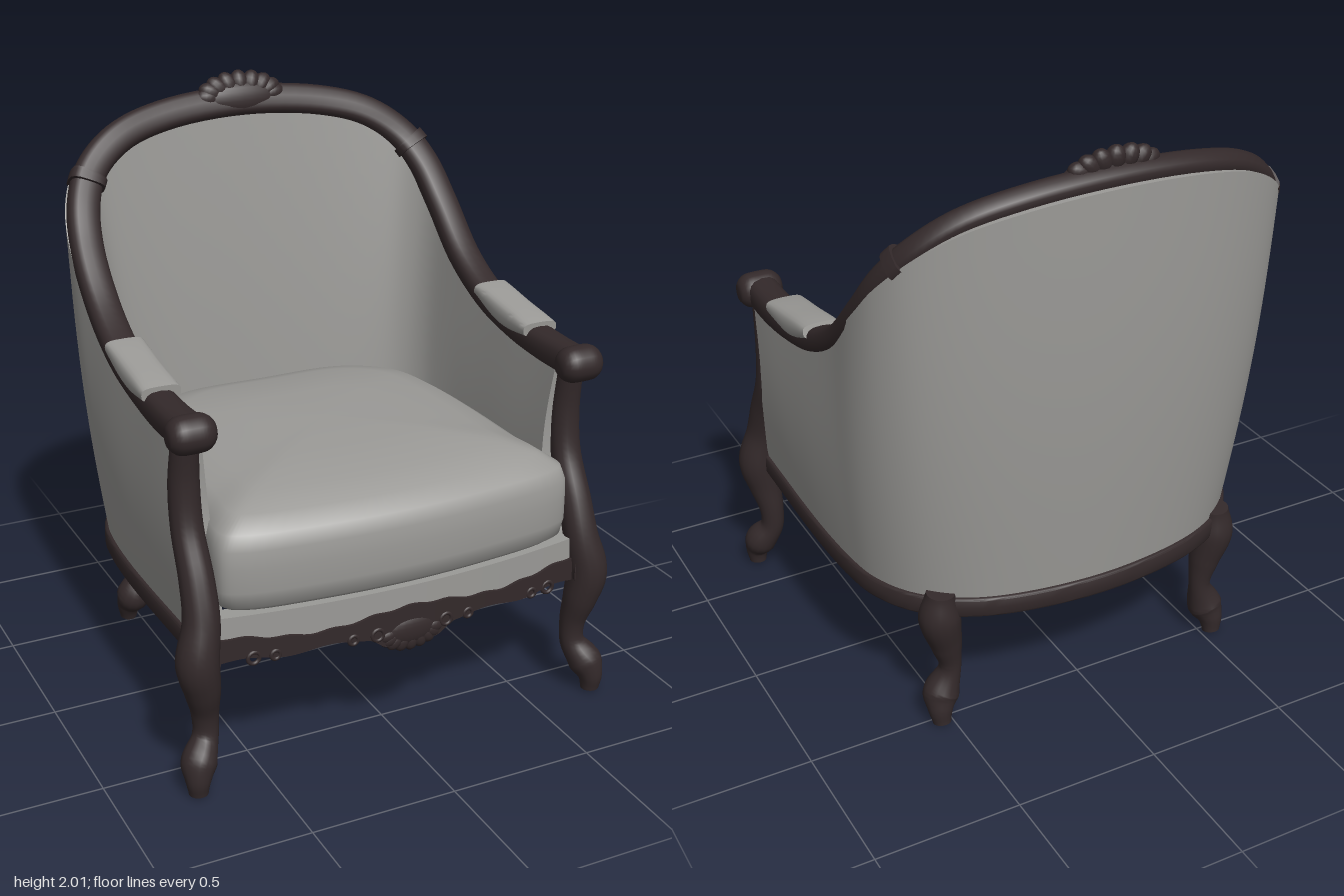
import * as THREE from 'three';
import { mergeVertices, toCreasedNormals } from 'three/addons/utils/BufferGeometryUtils.js';

const V = (x, y, z) => new THREE.Vector3(x, y, z);
const spline = (pts, closed = false) => new THREE.CatmullRomCurve3(pts, closed);
const { lerp, clamp, smoothstep } = THREE.MathUtils;

// Surface from a rule f(u, v) -> Vector3, front side along du x dv
function surface(f, nu, nv, crease = 0.9) {
  const geo = new THREE.PlaneGeometry(1, 1, nu, nv);
  const pos = geo.attributes.position;
  for (let i = 0; i < pos.count; i++) {
    const p = f((i % (nu + 1)) / nu, 1 - Math.floor(i / (nu + 1)) / nv);
    pos.setXYZ(i, p.x, p.y, p.z);
  }
  geo.deleteAttribute('uv');
  geo.deleteAttribute('normal');
  return toCreasedNormals(mergeVertices(geo, 1e-4), crease);
}

// Capped sweep: size(t) gives half width and half height, e < 1 squares the section
function sweep(curve, ref, size, n, sides, t0 = 0, t1 = 1, e = 1) {
  const pw = (c) => Math.sign(c) * Math.abs(c) ** e;
  return surface((u, v) => {
    const t = lerp(t0, t1, clamp((u * n - 1) / (n - 2), 0, 1));
    const a = v * Math.PI * 2;
    const k = u === 0 || u === 1 ? 0 : 1;
    const T = curve.getTangent(t);
    const W = T.clone().cross(ref).normalize();
    const N = W.clone().cross(T);
    const [w, h] = size(t);
    return curve.getPoint(t).addScaledVector(W, k * w * pw(Math.cos(a)))
      .addScaledVector(N, k * h * pw(Math.sin(a)));
  }, n, sides);
}

// Bar across the front, bowed forward in the middle
const bow = (x) => 0.065 * (1 - (x / 0.66) ** 2);
function bowedBar(half, top, bottom, front, depth) {
  return surface((u, v) => {
    const x = lerp(-half, half, clamp((u * 90 - 1) / 88, 0, 1));
    const zf = front + bow(x);
    const c = Math.round(v * 4) % 4;
    const cap = u === 0 || u === 1;
    const y = cap ? (top(x) + bottom(x)) / 2 : c === 0 || c === 3 ? bottom(x) : top(x);
    return V(x, y, cap ? zf - depth / 2 : c < 2 ? zf : zf - depth);
  }, 90, 4, 0.6);
}

export function createModel() {
  const group = new THREE.Group();
  const wood = new THREE.MeshStandardMaterial({ color: 0x33292a, side: THREE.DoubleSide });
  wood.name = 'dark wood';
  const fabric = new THREE.MeshStandardMaterial({ color: 0x9b9a97, side: THREE.DoubleSide });
  fabric.name = 'grey fabric';
  const add = (name, geo, mat, parent = group) => {
    const m = new THREE.Mesh(geo, mat);
    m.name = name;
    parent.add(m);
    return m;
  };

  // Half of the top rail (x, y, z) with the matching seat line (x, z)
  const half = [
    [0.685, 1.18, 0.55, 0.68, 0.66], [0.69, 1.178, 0.4, 0.685, 0.42], [0.69, 1.195, 0.2, 0.69, 0.2],
    [0.69, 1.24, 0, 0.69, 0], [0.688, 1.345, -0.2, 0.68, -0.18], [0.682, 1.51, -0.37, 0.66, -0.3],
    [0.655, 1.635, -0.465, 0.61, -0.41], [0.598, 1.73, -0.535, 0.54, -0.49],
    [0.48, 1.815, -0.59, 0.43, -0.56], [0.3, 1.865, -0.63, 0.27, -0.61], [0, 1.888, -0.65, 0, -0.638],
  ];
  const full = [...half, ...half.slice(0, -1).reverse().map(([x, y, z, bx, bz]) => [-x, y, z, -bx, bz])];
  const rail = spline(full.map((p) => V(p[0], p[1], p[2])));
  const base = spline(full.map((p) => V(p[3], 0.465, p[4])));
  const tilt = V(0, 0.5, 0.85);

  // Upholstered shell: outside, over the rail, then down the inside
  const u0 = 0.016;
  const wall = (t, side, q) => {
    const top = rail.getPoint(t), low = base.getPoint(t);
    const n = base.getTangent(t).cross(V(0, 1, 0)).normalize();
    const back = smoothstep(-top.z, 0.1, 0.6);
    const bulge = Math.sin(Math.PI * q);
    const offTop = side > 0 ? lerp(0.045, 0.068, back) : -lerp(0.05, 0.03, back);
    const offLow = side > 0 ? 0.012 : -lerp(0.085, 0.115, back);
    const p = low.clone().lerp(top, q);
    p.addScaledVector(n, lerp(offLow, offTop, q) + (side > 0 ? 0.02 : -0.012) * bulge);
    p.z -= 0.05 * bulge * smoothstep(top.z, 0.2, 0.5);
    return p;
  };
  const shell = new THREE.Group();
  shell.name = 'upholsteredShell';
  group.add(shell);
  add('shellWalls', surface((u, v) => {
    const t = lerp(u0, 1 - u0, u);
    if (v <= 0.45) return wall(t, 1, v / 0.45);
    if (v >= 0.55) return wall(t, -1, (1 - v) / 0.45);
    return wall(t, 1, 1).lerp(wall(t, -1, 1), (v - 0.45) / 0.1);
  }, 100, 40, 1.2), fabric, shell);
  for (const t of [u0, 1 - u0]) {
    add('shellFrontEdge', surface((u, v) => wall(t, -1, v).lerp(wall(t, 1, v), u), 1, 18), fabric, shell);
  }

  // Frame rails, thicker at the arms, and the collars on the back
  const railSize = (t) => [0.056, lerp(0.056, 0.043, smoothstep(Math.min(t, 1 - t), 0.04, 0.18))];
  add('topRail', sweep(rail, tilt, railSize, 120, 16, 0, 1, 0.7), wood);
  add('seatRail', sweep(base, V(0, 1, 0), () => [0.03, 0.036], 90, 16, 0, 1, 0.3), wood);
  for (const t of [0.332, 0.668]) {
    add('railCollar', sweep(rail, tilt, () => [0.064, 0.055], 6, 16, t - 0.007, t + 0.007, 0.6), wood);
  }

  // Legs: centre x, y, z and radius from top to toe
  const frontLeg = [
    [0.69, 1.15, 0.505, 0.045], [0.69, 1, 0.487, 0.05], [0.69, 0.85, 0.505, 0.052],
    [0.69, 0.7, 0.575, 0.056], [0.695, 0.58, 0.615, 0.06], [0.718, 0.45, 0.632, 0.07],
    [0.702, 0.35, 0.625, 0.06], [0.688, 0.25, 0.607, 0.045], [0.69, 0.17, 0.61, 0.043],
    [0.726, 0.1, 0.642, 0.059], [0.738, 0.05, 0.662, 0.043], [0.738, 0, 0.662, 0.032],
  ];
  const backLeg = [
    [0.53, 0.52, -0.52, 0.048], [0.533, 0.42, -0.513, 0.07], [0.508, 0.3, -0.505, 0.054],
    [0.495, 0.2, -0.505, 0.038], [0.527, 0.1, -0.5, 0.062], [0.54, 0.05, -0.52, 0.044],
    [0.54, 0, -0.53, 0.031],
  ];
  const addLeg = (name, pts, s) => {
    const path = spline(pts.map((p) => V(s * p[0], p[1], p[2])));
    const radius = new THREE.SplineCurve(pts.map((p, i) => new THREE.Vector2(i, p[3])));
    add(name, sweep(path, V(0, 0, 1), (t) => {
      const r = radius.getPoint(t).y;
      return [r, r];
    }, 60, 16), wood);
  };

  for (const s of [1, -1]) {
    const side = s > 0 ? 'left' : 'right';
    addLeg(side + 'FrontLegAndArmPost', frontLeg, s);
    addLeg(side + 'BackLeg', backLeg, s);
    // Rounded hand rest rolled over the end of the arm
    const roll = spline([V(s * 0.615, 1.183, 0.555), V(s * 0.69, 1.183, 0.555), V(s * 0.762, 1.183, 0.555)]);
    add(side + 'HandRest', sweep(roll, V(0, 1, 0), (t) => {
      const r = 0.062 * (1 - Math.abs(2 * t - 1) ** 4 * 0.45);
      return [r, r];
    }, 16, 20), wood);
    // Padded armrest
    const pad = spline([V(s * 0.688, 1.228, 0.315), V(s * 0.688, 1.238, 0.15), V(s * 0.688, 1.28, -0.015)]);
    add(side + 'ArmPad', sweep(pad, V(0, 1, 0), (t) => [0.066, 0.024 + 0.02 * Math.sin(Math.PI * t)],
      20, 20, 0, 1, 0.6), fabric);
  }

  // Seat cushion: plan outline scaled by a height profile
  const right = [[0.3, 0.685], [0.57, 0.645], [0.628, 0.605], [0.615, 0.4], [0.612, 0.05], [0.595, -0.2], [0.54, -0.4], [0.36, -0.53]];
  const plan = spline([[0, 0.7], ...right, [0, -0.545], ...right.slice().reverse().map(([x, z]) => [-x, z])]
    .map(([x, z]) => V(x, 0, z)), true);
  const profile = [[0, 0.585], [0.6, 0.585], [0.95, 0.585], [0.985, 0.605], [1, 0.66], [1, 0.74], [0.998, 0.8],
    [0.975, 0.85], [0.88, 0.89], [0.72, 0.92], [0.4, 0.936], [0, 0.94]];
  const last = profile.length - 1;
  add('seatCushion', surface((u, v) => {
    const [k, y] = profile[Math.round(v * last)];
    const p = plan.getPoint(u % 1);
    return V(p.x * k, y, 0.06 + (p.z - 0.06) * k);
  }, 96, last, 1), fabric);
  add('seatFrontBand', bowedBar(0.645, () => 0.585, () => 0.48, 0.63, 0.06), fabric);

  // Carved front apron with a broad central drop
  const apronTop = (x) => 0.502 + 0.014 * Math.cos(x * 9.5) + 0.004 * Math.cos(x * 45);
  const apronLow = (x) => 0.432 + 0.008 * Math.cos(x * 22) - 0.05 * Math.exp(-((x / 0.125) ** 6));
  add('frontApron', bowedBar(0.66, apronTop, apronLow, 0.64, 0.04), wood);

  // Carved leaf fan on a solid core, dir = 1 opens upward, -1 downward
  const fan = (name, y, z, dir, rx, ry, lobeSize, coreSize) => {
    const g = new THREE.Group();
    g.name = name;
    group.add(g);
    for (let i = -4; i <= 4; i++) {
      const a = i * 0.36;
      const lobe = add('carvedLobe', new THREE.SphereGeometry(1, 14, 10), wood, g);
      lobe.scale.set(...lobeSize);
      lobe.position.set(Math.sin(a) * rx, dir * Math.cos(a) * ry, 0);
      lobe.rotation.z = -a * dir;
    }
    const core = add('carvedCore', new THREE.SphereGeometry(1, 20, 12), wood, g);
    core.scale.set(...coreSize);
    g.position.set(0, y, z);
    return g;
  };
  fan('topCrest', 1.905, -0.635, 1, 0.125, 0.05, [0.034, 0.047, 0.03], [0.16, 0.062, 0.036]).rotation.x = -0.25;
  fan('apronShell', 0.425, 0.69, -1, 0.085, 0.04, [0.026, 0.036, 0.02], [0.1, 0.055, 0.024]);

  // C-scrolls along the lower edge of the apron
  for (const s of [1, -1]) {
    for (const [x, r] of [[0.125, 0.02], [0.21, 0.015], [0.47, 0.015], [0.54, 0.02]]) {
      const scroll = add('apronScroll', new THREE.TorusGeometry(r, 0.007, 8, 18), wood);
      scroll.position.set(s * x, 0.437, 0.638 + bow(x));
    }
  }
  return group;
}
